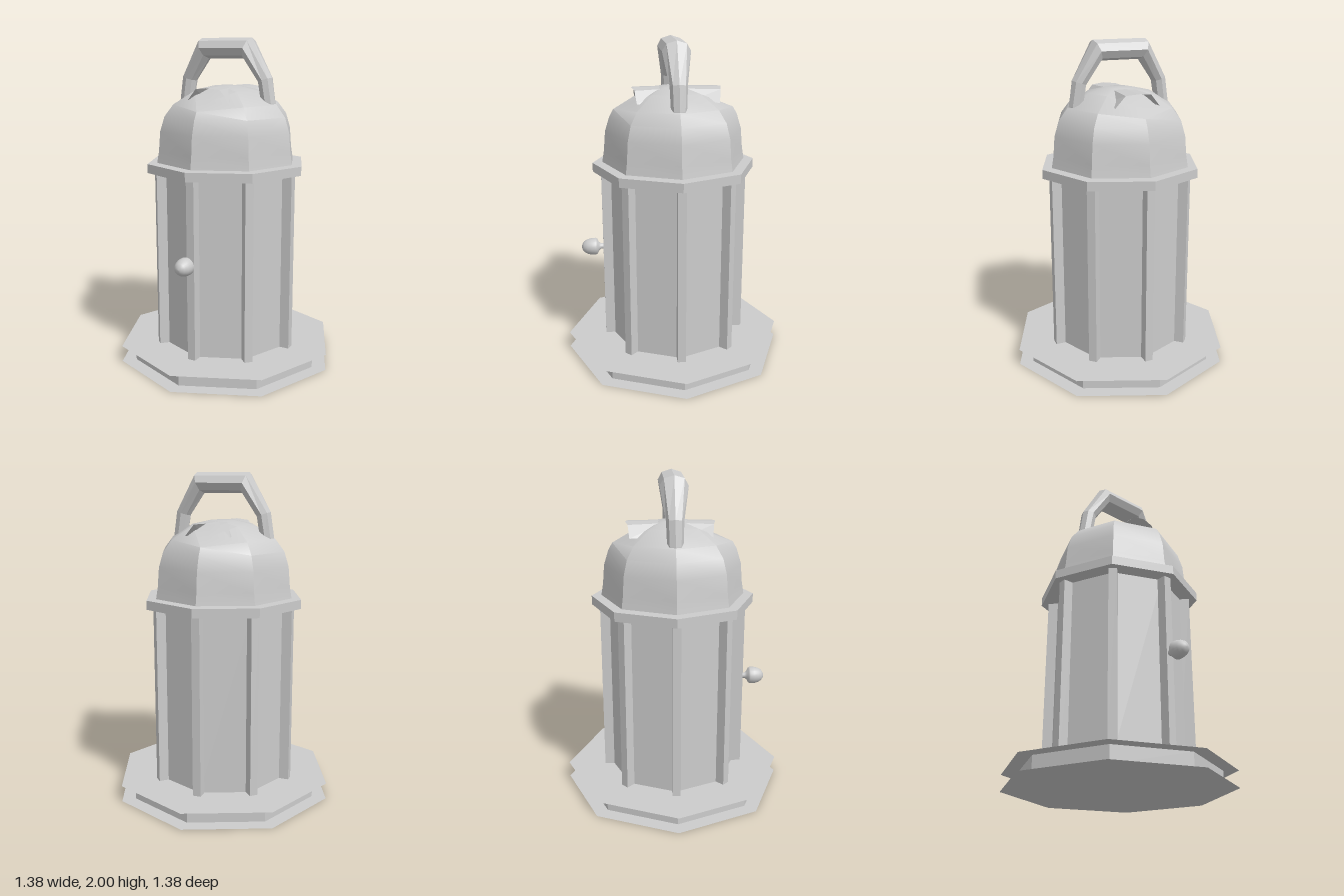
import * as THREE from 'three';
import { toCreasedNormals } from 'three/addons/utils/BufferGeometryUtils.js';

const grey = new THREE.MeshStandardMaterial({ color: 0xcccccc, side: THREE.DoubleSide });
const flat = new THREE.MeshStandardMaterial({ color: 0xcccccc, side: THREE.DoubleSide, flatShading: true });
const SIDES = 8;

function add(parent, name, geometry, material = flat) {
  const mesh = new THREE.Mesh(geometry, material);
  mesh.name = name;
  parent.add(mesh);
  return mesh;
}

// Octagonal prism between two heights
function prism(radius, y0, y1, open = false) {
  return new THREE.CylinderGeometry(radius, radius, y1 - y0, SIDES, 1, open).translate(0, (y0 + y1) / 2, 0);
}

// Skin a list of equally sized cross-sections
function loft(sections, closed) {
  const n = sections[0].length, index = [];
  for (let i = 0; i < sections.length - 1; i++) {
    for (let j = 0; j < (closed ? n : n - 1); j++) {
      const k = (j + 1) % n;
      const a = i * n + j, b = i * n + k, c = a + n, d = b + n;
      index.push(a, b, c, b, d, c);
    }
  }
  const g = new THREE.BufferGeometry();
  g.setAttribute('position', new THREE.Float32BufferAttribute(sections.flat(2), 3));
  g.setIndex(index);
  g.computeVertexNormals();
  return g;
}

// Eight-sided dome, with the front and back ridges pressed in below the vents
function domeGeometry() {
  const profile = [[0.44, 1.26], [0.428, 1.33], [0.418, 1.45], [0.39, 1.54], [0.335, 1.61],
    [0.2, 1.69], [0.08, 1.717], [0, 1.72]].map(([r, y]) => new THREE.Vector2(r, y));
  const g = new THREE.LatheGeometry(profile, SIDES);
  const p = g.attributes.position;
  for (let i = 0; i < p.count; i++) {
    if (Math.abs(p.getX(i)) > 0.01) continue;
    const s = Math.sign(p.getZ(i));
    const row = i % profile.length;
    if (row === 4) p.setXYZ(i, 0, 1.585, s * 0.365);
    if (row === 5) p.setXYZ(i, 0, 1.63, s * 0.235);
  }
  return toCreasedNormals(g, 0.62);
}

// Small open hood running from the crown to its mouth
function hoodGeometry(mouthZ) {
  const rim = [[-0.14, 1.635, -0.02], [-0.08, 1.705, -0.01], [0, 1.713, 0.005], [0.08, 1.705, -0.01], [0.14, 1.635, -0.02]];
  const mouth = rim.map(([x, y, dz]) => [x, y, mouthZ + dz]);
  const root = rim.map(([x, y]) => [x * 0.8, Math.min(y + 0.005, 1.715), 0.07]);
  return loft([mouth, root], false);
}

// Carrying handle: each station gives an outer point, an inner point and half its depth
function handleGeometry() {
  const half = [
    [0.33, 1.54, 0.25, 1.54, 0.045],
    [0.325, 1.62, 0.235, 1.62, 0.047],
    [0.302, 1.77, 0.215, 1.742, 0.052],
    [0.17, 2.0, 0.125, 1.878, 0.084],
  ];
  const mirrored = half.map(([ox, oy, ix, iy, d]) => [-ox, oy, -ix, iy, d]).reverse();
  const sections = [...half, ...mirrored].map(([ox, oy, ix, iy, d]) =>
    Array.from({ length: 8 }, (_, k) => {
      const a = k * Math.PI / 4, t = (1 - Math.cos(a)) / 2;
      return [ox + (ix - ox) * t, oy + (iy - oy) * t, d * Math.sin(a)];
    }));
  return loft(sections, true);
}

export function createModel() {
  const model = new THREE.Group();
  model.name = 'lantern';

  // Base: recessed rim between two thin overhanging plates
  const base = new THREE.Group();
  base.name = 'base';
  model.add(base);
  add(base, 'baseRim', prism(0.6, 0, 0.1, true));
  for (const [name, y, turn] of [['bottomPlate', 0, Math.PI / 2], ['topPlate', 0.1, -Math.PI / 2]]) {
    add(base, name, new THREE.CircleGeometry(0.69, SIDES).rotateX(turn).translate(0, y, 0));
  }

  // Body panels and corner posts
  add(model, 'panels', prism(0.4, 0.1, 1.2));
  const posts = new THREE.Group();
  posts.name = 'posts';
  model.add(posts);
  for (let i = 0; i < SIDES; i++) {
    const g = new THREE.BoxGeometry(0.05, 1.1, 0.1).translate(0, 0.65, 0.4).rotateY(i * Math.PI / 4);
    add(posts, 'post', g);
  }

  // Roof
  add(model, 'roofFlange', prism(0.5, 1.2, 1.255));
  add(model, 'dome', domeGeometry(), grey);
  add(model, 'frontVent', hoodGeometry(0.25));
  add(model, 'backVent', hoodGeometry(0.28).rotateY(Math.PI));
  add(model, 'handle', handleGeometry());

  // Door knob on the front post
  const knob = [[0.018, 0.44], [0.018, 0.465], [0.028, 0.478], [0.047, 0.488], [0.054, 0.498],
    [0.053, 0.525], [0.047, 0.55], [0.035, 0.571], [0.018, 0.583], [0, 0.586]];
  const knobGeometry = new THREE.LatheGeometry(knob.map(([r, z]) => new THREE.Vector2(r, z)), 24);
  add(model, 'knob', knobGeometry.rotateX(Math.PI / 2).translate(0, 0.705, 0), grey);

  return model;
}
